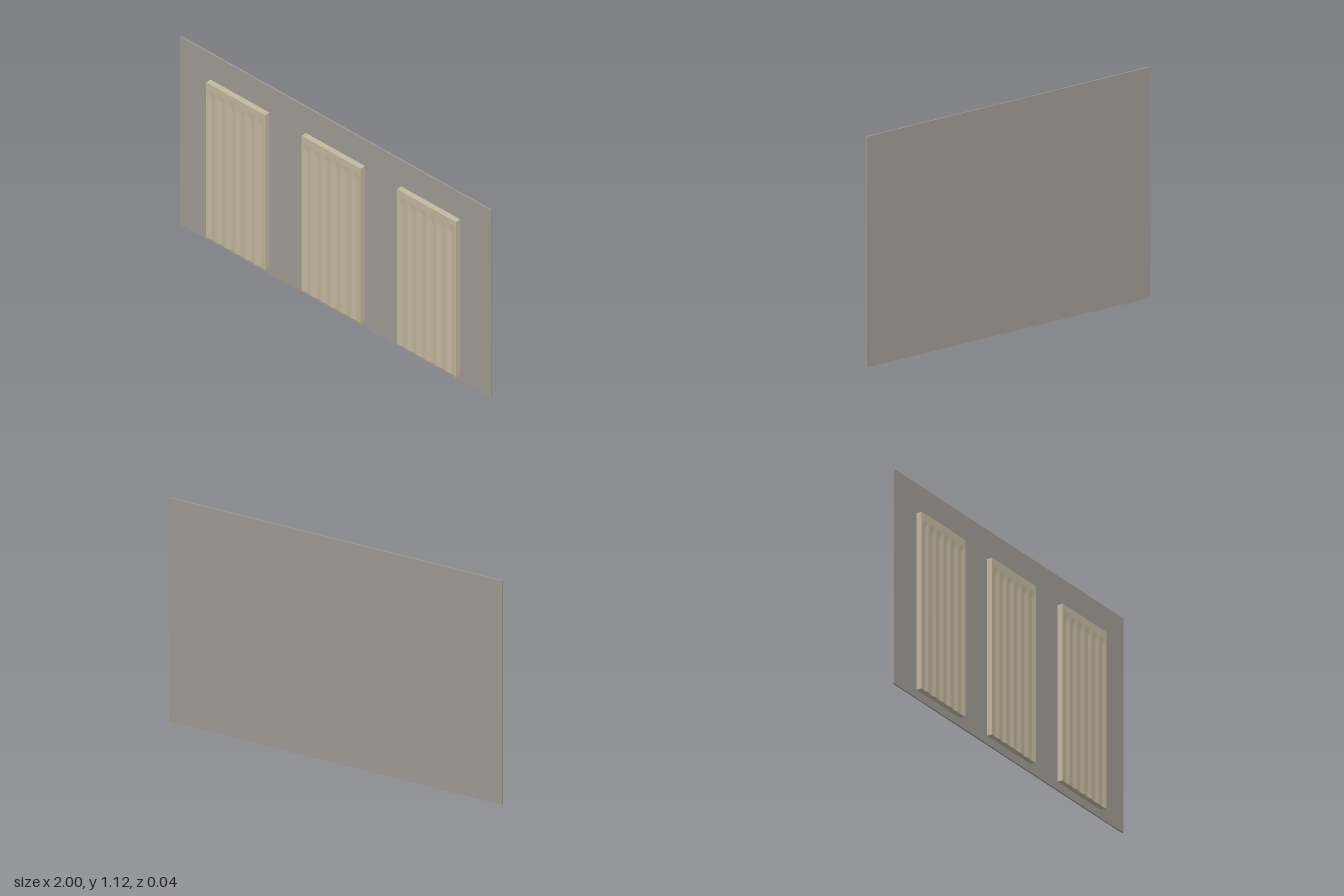
import * as THREE from 'three';

const WIDTH = 0.38, HEIGHT = 0.923, DEPTH = 0.03;
const FLUTES = 6, FLUTE_DEPTH = 0.004;

// Panel block whose front is hollowed into shallow vertical flutes that fade out below the top
function flutedPanel() {
  const geo = new THREE.BoxGeometry(WIDTH, HEIGHT, DEPTH, FLUTES * 10, 28, 1);
  const pos = geo.attributes.position;
  for (let i = 0; i < pos.count; i++) {
    // rows crowd towards the top, where the flutes end
    const fromTop = (0.5 - pos.getY(i) / HEIGHT) ** 2 * HEIGHT;
    pos.setY(i, HEIGHT / 2 - fromTop);
    if (pos.getZ(i) > 0) {
      const u = (pos.getX(i) / WIDTH + 0.5) * FLUTES;
      const hollow = 0.5 - 0.5 * Math.cos(u * Math.PI * 2);
      const fade = THREE.MathUtils.smoothstep(fromTop, 0.04, 0.068);
      pos.setZ(i, DEPTH / 2 - FLUTE_DEPTH * hollow * fade);
    }
  }
  geo.computeVertexNormals();
  return geo;
}

export function createModel() {
  const model = new THREE.Group();
  model.name = 'panelledWall';
  const wallGrey = new THREE.MeshStandardMaterial({ name: 'wallGrey', color: 0x9f9a93 });
  const panelCream = new THREE.MeshStandardMaterial({ name: 'panelCream', color: 0xc3b89f });

  // Thin backing wall
  const wall = new THREE.Mesh(new THREE.BoxGeometry(2, 1.12, 0.008), wallGrey);
  wall.name = 'backingWall';
  wall.position.set(0, 0.56, -0.015);
  model.add(wall);

  // Three fluted panels
  const panelGeo = flutedPanel();
  ['rightPanel', 'middlePanel', 'leftPanel'].forEach((name, i) => {
    const panel = new THREE.Mesh(panelGeo, panelCream);
    panel.name = name;
    panel.position.set((i - 1) * 0.614, 0.042 + HEIGHT / 2, 0.004);
    model.add(panel);
  });
  return model;
}
